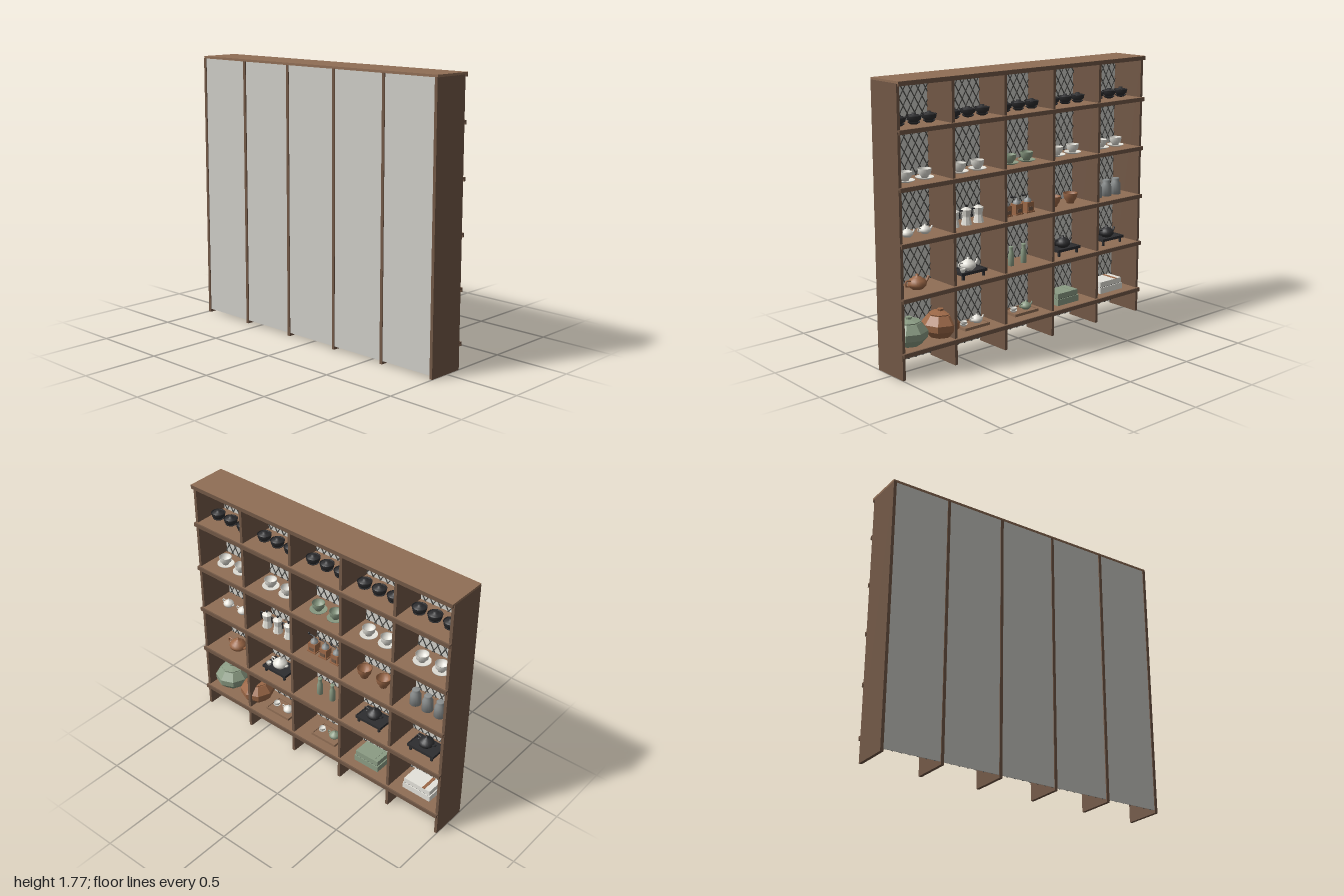
import * as THREE from 'three';

const mat = (name, color, side = THREE.FrontSide) => {
  const m = new THREE.MeshStandardMaterial({ color, side });
  m.name = name;
  return m;
};

export function createModel() {
  const darkWood = mat('dark wood', 0x725846);
  const lightWood = mat('light wood', 0x906e55);
  const panelGrey = mat('panel grey', 0xcfcec8);
  const lattice = mat('lattice grey', 0x4a4a47);
  const black = mat('black', 0x2d2d2f);
  const white = mat('white ceramic', 0xe4e2da);
  const sage = mat('sage green', 0x8b9c84);
  const clay = mat('terracotta', 0x9c6847);
  const metal = mat('grey metal', 0x8b8f8f);

  const root = new THREE.Group();
  root.name = 'displayShelf';

  // Helpers
  const add = (parent, name, geo, m, x = 0, y = 0, z = 0) => {
    const mesh = new THREE.Mesh(geo, m);
    mesh.name = name;
    mesh.position.set(x, y, z);
    parent.add(mesh);
    return mesh;
  };
  const box = (parent, name, m, w, h, d, x, y, z) =>
    add(parent, name, new THREE.BoxGeometry(w, h, d), m, x, y + h / 2, z); // y is the base
  const group = (name, x, y, z = 0) => {
    const g = new THREE.Group();
    g.name = name;
    g.position.set(x, y, z);
    root.add(g);
    return g;
  };
  const lathe = (parent, name, m, pts, y = 0, seg = 20) => {
    let geo = new THREE.LatheGeometry(pts.map(p => new THREE.Vector2(...p)), seg);
    if (seg <= 8) { // faceted pieces
      geo = geo.toNonIndexed();
      geo.computeVertexNormals();
    }
    return add(parent, name, geo, m, 0, y, 0);
  };
  const tube = (parent, name, m, pts, r) => add(parent, name, new THREE.TubeGeometry(
    new THREE.CatmullRomCurve3(pts.map(p => new THREE.Vector3(p[0], p[1], p[2] || 0))), 10, r, 6), m);

  // Carcass: uprights, top, shelves with a hooked lip at the open side
  for (let i = 0; i < 6; i++) {
    const x = [-0.99, -0.6, -0.2, 0.2, 0.6, 0.99][i];
    box(root, i % 5 ? 'divider' : 'sidePanel', darkWood, 0.02, 1.757, 0.25, x, 0, 0.01);
  }
  box(root, 'topBoard', lightWood, 2, 0.015, 0.268, 0, 1.755, -0.001);
  box(root, 'topLip', darkWood, 2, 0.026, 0.012, 0, 1.743, -0.13);
  const shelfY = [0.17, 0.503, 0.833, 1.163, 1.495];
  for (const y of shelfY) {
    box(root, 'shelf', lightWood, 1.97, 0.015, 0.25, 0, y - 0.015, 0);
    box(root, 'shelfLip', darkWood, 2, 0.026, 0.01, 0, y - 0.026, -0.13);
    box(root, 'shelfEdge', darkWood, 2, 0.012, 0.012, 0, y - 0.0125, -0.12);
  }

  // Closed side: one panel per bay
  for (let i = -2; i <= 2; i++) {
    box(root, 'frontPanel', panelGrey, 0.385, 1.735, 0.006, i * 0.396, 0.02, 0.127);
  }

  // Diamond lattice on the inner face, each bar clipped to the wall
  const slope = 0.6, y0 = 0.02, y1 = 1.755, half = 0.98;
  const latticeGroup = group('lattice', 0, 0, 0.121);
  for (const s of [-1, 1]) {
    for (let c = -2.1; c < 2.1; c += 0.055) {
      const at = y => c + s * slope * (y - 0.9);
      const ends = [-half, half].map(x => (x - c) / (s * slope) + 0.9).sort((a, b) => a - b);
      const a = Math.max(y0, ends[0]), b = Math.min(y1, ends[1]);
      if (b - a < 0.02) continue;
      const len = Math.hypot(b - a, at(b) - at(a));
      const bar = add(latticeGroup, 'latticeBar', new THREE.BoxGeometry(0.006, len, 0.004), lattice,
        (at(a) + at(b)) / 2, (a + b) / 2, s * 0.001);
      bar.rotation.z = -s * Math.atan(slope);
    }
  }

  // Crockery builders
  const cup = (m, x, y, r, h, saucer) => {
    const g = group('cup', x, y);
    lathe(g, 'saucer', m, [[0, 0], [saucer * 0.6, 0], [saucer, 0.01], [saucer, 0.014], [saucer * 0.5, 0.007], [0, 0.007]]);
    lathe(g, 'cupBowl', m, [[0, 0.006], [r * 0.5, 0.008], [r * 0.55, 0.016], [r * 0.88, h * 0.5],
      [r, h], [r * 0.92, h], [r * 0.78, h * 0.5], [0, 0.02]]);
    return g;
  };
  const teapot = (m, x, y, r, z = 0) => {
    const g = group('teapot', x, y, z);
    lathe(g, 'teapotBody', m, [[0, 0], [r * 0.6, 0], [r * 0.95, r * 0.35], [r, r * 0.6], [r * 0.85, r * 0.95],
      [r * 0.5, r * 1.15], [r * 0.48, r * 1.22], [r * 0.1, r * 1.38], [r * 0.2, r * 1.52], [0, r * 1.62]]);
    tube(g, 'spout', m, [[-r * 0.8, r * 0.45], [-r * 1.2, r * 0.65], [-r * 1.5, r * 1.1]], r * 0.15);
    tube(g, 'handle', m, [[r * 0.85, r * 0.95], [r * 1.4, r], [r * 1.4, r * 0.5], [r * 0.9, r * 0.4]], r * 0.1);
    return g;
  };
  const tray = (m, x, y, h) => {
    const g = group('tray', x, y);
    box(g, 'trayTop', m, 0.2, 0.012, 0.13, 0, h, 0);
    for (const s of [-1, 1]) {
      box(g, 'trayRim', m, 0.2, 0.008, 0.006, 0, h + 0.01, s * 0.062);
      box(g, 'trayRim', m, 0.006, 0.008, 0.13, s * 0.097, h + 0.01, 0);
      if (h > 0.01) for (const t of [-1, 1]) box(g, 'trayLeg', m, 0.014, h, 0.014, s * 0.08, 0, t * 0.05);
    }
  };
  const jar = (m, x, y, r) => {
    const g = group('facetedJar', x, y);
    lathe(g, 'jarBody', m, [[0, 0], [r * 0.6, 0], [r * 0.97, r * 0.4], [r, r * 0.75], [r * 0.65, r * 1.18], [0, r * 1.2]], 0, 8);
    lathe(g, 'jarLid', m, [[r * 0.6, 0], [r * 0.62, r * 0.06], [r * 0.15, r * 0.16], [r * 0.17, r * 0.27], [0, r * 0.28]], r * 1.18, 8);
  };

  const [s1, s2, s3, s4, s5] = shelfY;

  // Top row: dark cups; second row: cups on saucers
  for (let i = -2; i <= 2; i++) {
    for (const d of [-0.11, 0, 0.11]) {
      const g = cup(black, i * 0.4 + d, s5, 0.046, 0.05, 0.036);
      lathe(g, 'cupLid', black, [[0.041, 0.044], [0.03, 0.054], [0.012, 0.057], [0.014, 0.064], [0, 0.064]]);
    }
    for (const d of [-0.07, 0.07]) cup(i ? white : sage, i * 0.4 + d, s4, 0.042, 0.062, 0.056);
  }

  // Third row: small teapots, stove-top pots, grinders, bowls, canisters
  for (const d of [-0.065, 0.065]) {
    teapot(white, 0.8 + d, s3, 0.036);
    const bowl = group('bowl', -0.38 + d * 1.15, s3);
    lathe(bowl, 'bowlBody', clay, [[0, 0], [0.024, 0], [0.026, 0.01], [0.042, 0.035], [0.049, 0.068],
      [0.044, 0.068], [0.037, 0.035], [0, 0.014]]);
  }
  for (let i = -1; i <= 1; i++) {
    const pot = group('stovetopPot', 0.42 + i * 0.095, s3);
    lathe(pot, 'potBody', white, [[0, 0], [0.034, 0], [0.024, 0.048], [0.024, 0.054], [0.033, 0.095], [0.006, 0.11], [0, 0.11]], 0, 8);
    lathe(pot, 'potKnob', black, [[0.005, 0], [0.008, 0.014], [0, 0.016]], 0.109, 8);
    tube(pot, 'potHandle', black, [[0.03, 0.09], [0.052, 0.092], [0.05, 0.045]], 0.005);

    const mill = group('grinder', 0.013 + i * 0.093, s3);
    box(mill, 'grinderBase', clay, 0.066, 0.008, 0.066, 0, 0, 0);
    box(mill, 'grinderBox', clay, 0.056, 0.06, 0.056, 0, 0.008, 0);
    box(mill, 'grinderDrawer', darkWood, 0.036, 0.022, 0.006, 0, 0.016, -0.029);
    lathe(mill, 'grinderDome', metal, [[0.026, 0], [0.022, 0.016], [0.006, 0.026], [0.005, 0.042], [0, 0.042]], 0.068);
    tube(mill, 'grinderCrank', black, [[0, 0.108], [0.02, 0.112], [0.045, 0.11]], 0.004);
    add(mill, 'crankKnob', new THREE.SphereGeometry(0.008, 10, 8), black, 0.045, 0.118, 0);

    const can = group('canister', -0.79 + i * 0.09, s3);
    lathe(can, 'canisterBody', metal, [[0, 0], [0.036, 0], [0.034, 0.07], [0.024, 0.088], [0.025, 0.105], [0.021, 0.11], [0, 0.11]]);
  }

  // Fourth row: clay teapot, tea tables, slim bottles
  teapot(clay, 0.8, s2, 0.058);
  for (const [x, m] of [[0.41, white], [-0.39, black], [-0.8, black]]) {
    tray(black, x, s2, 0.03);
    teapot(m, x, s2 + 0.042, 0.05);
  }
  cup(white, 0.48, s2 + 0.042, 0.018, 0.026, 0.014).position.z = -0.035;
  for (const x of [0.06, -0.045]) {
    lathe(group('bottle', x, s2), 'bottleBody', sage,
      [[0, 0], [0.019, 0], [0.019, 0.075], [0.012, 0.095], [0.012, 0.12], [0.015, 0.125], [0, 0.125]]);
  }

  // Bottom row: faceted jars, low trays, stacked boxes
  jar(sage, 0.868, s1, 0.118);
  jar(clay, 0.63, s1, 0.118);
  for (const [x, m] of [[0.39, white], [-0.02, sage]]) {
    tray(lightWood, x, s1, 0.006);
    teapot(m, x - 0.045, s1 + 0.018, 0.036);
    cup(white, x + 0.06, s1 + 0.018, 0.022, 0.03, 0.024);
  }
  for (const [x, m, w] of [[-0.385, sage, 0.19], [-0.79, white, 0.21]]) {
    const g = group('storageBox', x, s1);
    box(g, 'lowerBox', m, w, 0.042, 0.13, 0, 0, 0);
    box(g, 'upperBox', m, w - 0.012, 0.036, 0.12, 0, 0.044, 0);
    box(g, 'boxSeam', black, w - 0.016, 0.003, 0.118, 0, 0.0415, 0);
    box(g, 'boxBand', m === white ? clay : sage, 0.02, 0.002, 0.12, -0.05, 0.08, 0);
  }

  return root;
}
